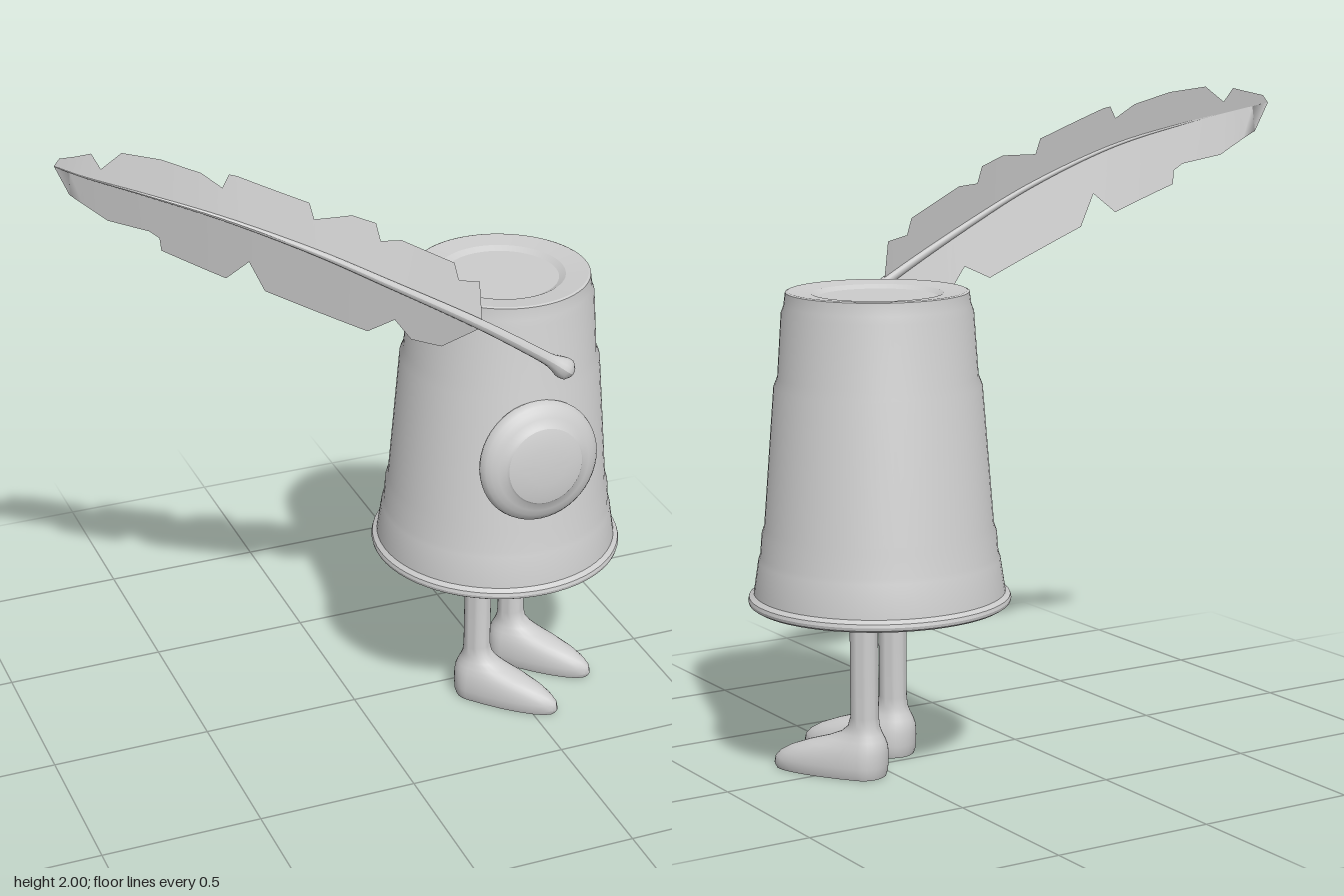
import * as THREE from 'three';
import { toCreasedNormals } from 'three/addons/utils/BufferGeometryUtils.js';

const grey = new THREE.MeshStandardMaterial({ color: 0xcccccc });
grey.name = 'plain grey';
const greyThin = grey.clone();
greyThin.side = THREE.DoubleSide;

const CUP_X = 0.48;

function lathe(points, segments) {
  return new THREE.LatheGeometry(points.map(([r, y]) => new THREE.Vector2(r, y)), segments);
}

function addMesh(parent, name, geometry, material = grey) {
  const mesh = new THREE.Mesh(geometry, material);
  mesh.name = name;
  parent.add(mesh);
  return mesh;
}

// Upturned cup: inner ceiling, inner wall, rolled rim, banded outer wall, dished top
function cupGeometry() {
  return toCreasedNormals(lathe([
    [0, 0.72], [0.335, 0.72], [0.348, 0.64], [0.366, 0.53],
    [0.372, 0.51], [0.382, 0.505], [0.391, 0.511], [0.393, 0.52], [0.39, 0.53], [0.381, 0.536],
    [0.376, 0.54], [0.361, 0.64], [0.355, 0.655], [0.35, 0.72], [0.342, 0.742],
    [0.309, 1.16], [0.297, 1.19], [0.284, 1.38], [0.276, 1.402], [0.271, 1.44],
    [0.264, 1.443], [0.195, 1.436], [0.175, 1.425], [0, 1.425],
  ], 64), 0.35);
}

// Domed eye with a slightly raised pupil, facing +z
function eyeGeometry() {
  const points = [];
  for (let i = 0; i <= 14; i++) {
    const a = -Math.PI / 2 + (i / 14) * (Math.PI / 2 + 0.86);
    points.push([Math.max(0, 0.193 * Math.cos(a)), 0.063 * Math.sin(a)]);
  }
  points.push([0.12, 0.054], [0.1, 0.059], [0.06, 0.064], [0, 0.066]);
  return toCreasedNormals(lathe(points, 48).rotateX(Math.PI / 2), 0.5);
}

// Leg and foot in one skin; each level is [height, half width, heel reach, toe reach]
function legGeometry() {
  const levels = [
    [0, 0, 0, 0], [0, 0.068, 0.062, 0.283], [0.015, 0.073, 0.067, 0.292], [0.035, 0.074, 0.069, 0.288],
    [0.055, 0.073, 0.07, 0.27], [0.075, 0.07, 0.07, 0.235], [0.095, 0.065, 0.068, 0.18],
    [0.112, 0.058, 0.062, 0.12], [0.13, 0.05, 0.053, 0.075], [0.15, 0.044, 0.045, 0.052],
    [0.18, 0.042, 0.042, 0.043], [0.73, 0.042, 0.042, 0.042],
  ];
  const geometry = lathe(levels.map(([y, w]) => [w, y]), 28);
  const pos = geometry.attributes.position;
  for (let i = 0; i < pos.count; i++) {
    const [, w, heel, toe] = levels[i % levels.length];
    if (w > 0) pos.setZ(i, pos.getZ(i) * (pos.getZ(i) > 0 ? toe : heel) / w);
  }
  return toCreasedNormals(geometry, 0.7);
}

// Centre line of the feather, from the knob to the tip
const spine = new THREE.CatmullRomCurve3([
  [0.585, 1.215, 0.308], [0.5, 1.278, 0.306], [0.29, 1.42, 0.292], [0, 1.592, 0.255],
  [-0.2, 1.703, 0.213], [-0.45, 1.817, 0.135], [-0.65, 1.884, 0.04], [-0.81, 1.93, -0.05],
  [-0.873, 1.95, -0.1],
].map((p) => new THREE.Vector3(...p)));

function spineAt(x) {
  let lo = 0, hi = 1;
  for (let i = 0; i < 30; i++) {
    const mid = (lo + hi) / 2;
    if (spine.getPoint(mid).x > x) lo = mid; else hi = mid;
  }
  return spine.getPoint(lo);
}

// Tapered quill with a rounded knob at its lower end
function quillGeometry() {
  const rings = 120, sides = 12;
  const geometry = new THREE.TubeGeometry(spine, rings, 1, sides, false);
  const pos = geometry.attributes.position;
  const v = new THREE.Vector3();
  for (let i = 0; i < pos.count; i++) {
    const t = Math.floor(i / (sides + 1)) / rings;
    const shaft = 0.019 * (1 - t) + 0.001;
    const knob = 0.015 * Math.exp(-(((t - 0.022) / 0.024) ** 2));
    const end = Math.sqrt(Math.min(1, t / 0.018));
    const centre = spine.getPointAt(t);
    v.fromBufferAttribute(pos, i).sub(centre).multiplyScalar((shaft + knob) * end).add(centre);
    pos.setXYZ(i, v.x, v.y, v.z);
  }
  geometry.computeVertexNormals();
  return geometry;
}

// One half of the vane: a strip between the spine and a notched edge of [x, y] points
function vaneGeometry(edge) {
  const stations = [];
  edge.slice(1).forEach(([x1, y1], i) => {
    const [x0, y0] = edge[i];
    const steps = Math.max(1, Math.ceil((x0 - x1) / 0.04));
    for (let s = 0; s < steps; s++) {
      stations.push([x0 + (x1 - x0) * s / steps, y0 + (y1 - y0) * s / steps]);
    }
  });
  stations.push(edge[edge.length - 1]);
  const positions = [], index = [];
  stations.forEach(([x, y], i) => {
    const c = spineAt(x);
    const back = 0.2 * Math.abs(y - c.y);
    positions.push(x, c.y, c.z - 0.003, x, y, c.z - 0.003 - back);
    if (i === 0) return;
    const a = 2 * i - 2;
    if (y > c.y) index.push(a, a + 1, a + 2, a + 1, a + 3, a + 2);
    else index.push(a, a + 2, a + 1, a + 1, a + 2, a + 3);
  });
  const geometry = new THREE.BufferGeometry();
  geometry.setAttribute('position', new THREE.Float32BufferAttribute(positions, 3));
  geometry.setIndex(index);
  geometry.computeVertexNormals();
  return geometry;
}

const upperEdge = [
  [0.29, 1.55], [0.224, 1.565], [0.214, 1.618], [0.055, 1.708], [-0.008, 1.714], [-0.018, 1.767],
  [-0.087, 1.798], [-0.198, 1.798], [-0.208, 1.846], [-0.404, 1.936], [-0.425, 1.941],
  [-0.446, 1.904], [-0.499, 1.947], [-0.6, 1.984], [-0.7, 2], [-0.757, 1.952], [-0.778, 1.995],
  [-0.858, 1.973], [-0.873, 1.95],
];
const lowerEdge = [
  [0.29, 1.412], [0.177, 1.353], [0.087, 1.385], [0.034, 1.459], [-0.04, 1.422], [-0.33, 1.57],
  [-0.377, 1.671], [-0.435, 1.613], [-0.604, 1.698], [-0.61, 1.74], [-0.636, 1.761],
  [-0.741, 1.788], [-0.836, 1.862], [-0.873, 1.95],
];

export function createModel() {
  const model = new THREE.Group();
  model.name = 'cupCharacter';

  addMesh(model, 'cup', cupGeometry()).position.x = CUP_X;

  const eye = addMesh(model, 'eye', eyeGeometry());
  eye.position.set(0.467, 0.955, 0.33);
  eye.rotation.x = -0.1;

  // Legs stand turned towards the front left
  const leg = legGeometry();
  [['rightLeg', 0.387, 0.087], ['leftLeg', 0.576, -0.07]].forEach(([name, x, z]) => {
    const mesh = addMesh(model, name, leg);
    mesh.position.set(x, 0, z);
    mesh.rotation.y = 0.69;
  });

  const feather = new THREE.Group();
  feather.name = 'feather';
  addMesh(feather, 'quill', quillGeometry());
  addMesh(feather, 'upperVane', vaneGeometry(upperEdge), greyThin);
  addMesh(feather, 'lowerVane', vaneGeometry(lowerEdge), greyThin);
  model.add(feather);

  return model;
}
